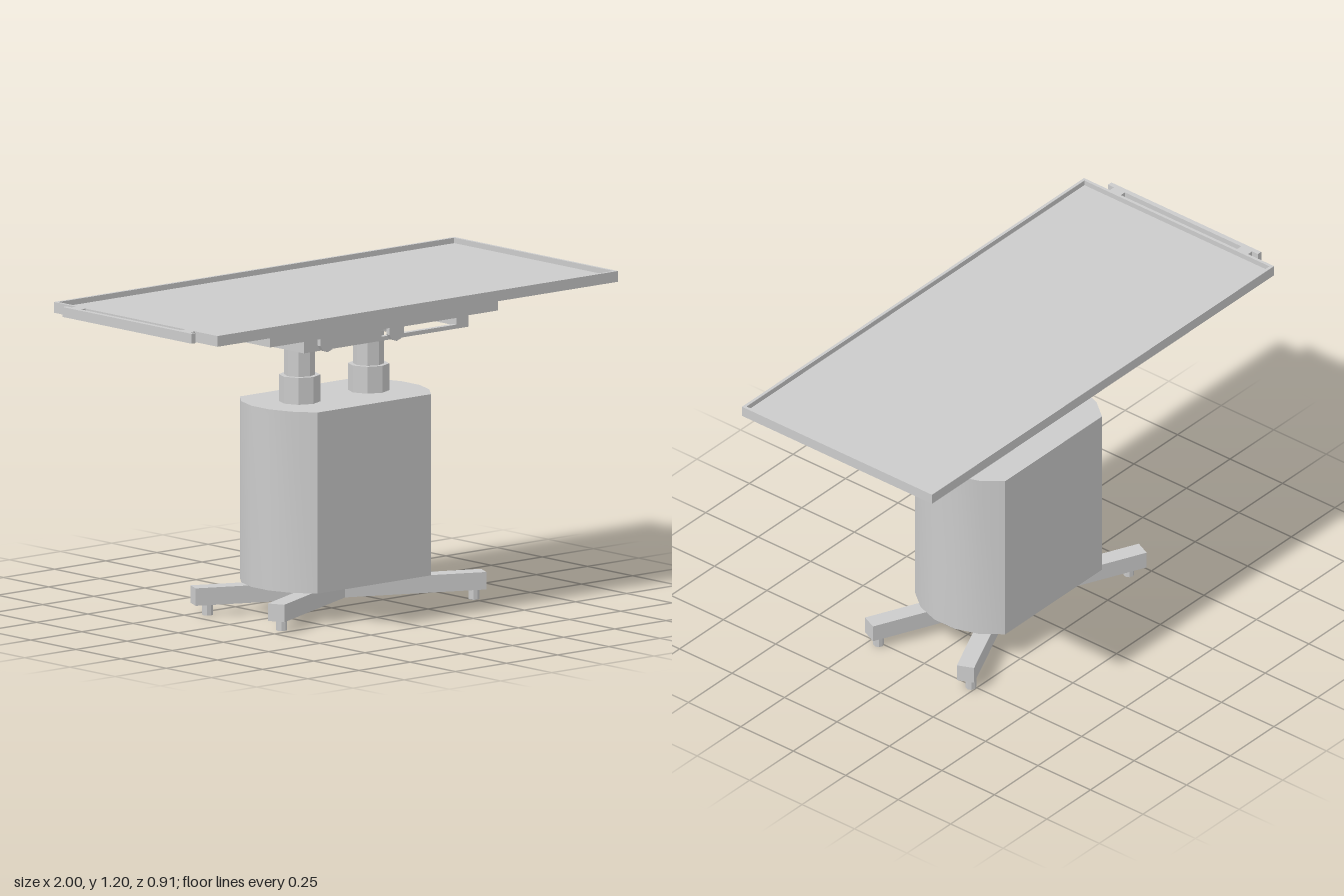
import * as THREE from 'three';
import { toCreasedNormals } from 'three/addons/utils/BufferGeometryUtils.js';

export function createModel() {
  const model = new THREE.Group();
  const smooth = new THREE.MeshStandardMaterial({ color: 0xcccccc });
  const flat = new THREE.MeshStandardMaterial({ color: 0xcccccc, flatShading: true });

  function add(name, geometry, material = flat) {
    const mesh = new THREE.Mesh(geometry, material);
    mesh.name = name;
    model.add(mesh);
    return mesh;
  }
  // box given by its min and max on each axis
  function box(name, x0, x1, y0, y1, z0, z1) {
    const mesh = add(name, new THREE.BoxGeometry(x1 - x0, y1 - y0, z1 - z0));
    mesh.position.set((x0 + x1) / 2, (y0 + y1) / 2, (z0 + z1) / 2);
    return mesh;
  }
  // upright post between two heights
  function post(name, r, x, z, y0, y1, sides = 8) {
    const mesh = add(name, new THREE.CylinderGeometry(r, r, y1 - y0, sides));
    mesh.position.set(x, (y0 + y1) / 2, z);
    return mesh;
  }
  function rectangle(path, x0, x1, y0, y1) {
    path.moveTo(x0, y0);
    path.lineTo(x1, y0);
    path.lineTo(x1, y1);
    path.lineTo(x0, y1);
    path.closePath();
    return path;
  }

  // crossed base beams
  for (const side of [1, -1]) {
    const beam = add('baseBeam', new THREE.BoxGeometry(1.114, 0.065, 0.066));
    beam.position.set(0.033, 0.0725, 0);
    beam.rotation.y = side * 0.425;
  }

  // feet under the beams and spacers under the tabletop
  for (const [x, z] of [[-0.43, 0.21], [-0.43, -0.2], [0.51, 0.21], [0.51, -0.23]]) {
    post('foot', 0.02, x, z, 0, 0.042);
    post('tabletopSpacer', 0.02, x - 0.022, z, 1.108, 1.157);
  }

  // pedestal housing with bowed ends
  const radius = 0.291, half = Math.asin(0.215 / radius), segments = 5;
  const outline = [];
  for (const side of [1, -1]) {
    for (let i = 0; i <= segments; i++) {
      const a = -half + (2 * half * i) / segments;
      outline.push(new THREE.Vector2(
        0.018 + side * (0.081 + radius * Math.cos(a)),
        side * radius * Math.sin(a)));
    }
  }
  const housing = new THREE.ExtrudeGeometry(new THREE.Shape(outline), { depth: 0.675, bevelEnabled: false });
  housing.rotateX(-Math.PI / 2);
  add('pedestalHousing', toCreasedNormals(housing, 0.5), smooth).position.y = 0.115;

  // telescopic columns with pivot axles and end knobs
  for (const x of [-0.157, 0.18]) {
    post('lowerColumn', 0.076, x, 0, 0.785, 0.89);
    post('upperColumn', 0.057, x, 0, 0.88, 1.04);
    const axle = post('pivotAxle', 0.012, x, 0, 0.89, 1.176);
    axle.rotation.x = Math.PI / 2;
    for (const side of [1, -1]) {
      const knob = post('pivotKnob', 0.038, x, side * 0.148, 1.0245, 1.0405, 10);
      knob.rotation.x = Math.PI / 2;
    }
  }

  // sliding carriage: slotted side rails closed by end bars
  const rail = rectangle(new THREE.Shape(), -0.26, 0.545, 1.0, 1.067);
  rail.holes.push(rectangle(new THREE.Path(), 0.12, 0.485, 1.015, 1.04));
  const railGeometry = new THREE.ExtrudeGeometry(rail, { depth: 0.02, bevelEnabled: false });
  for (const z of [-0.14, 0.12]) add('slottedRail', railGeometry).position.z = z;
  box('carriageEnd', -0.26, -0.24, 1.0, 1.067, -0.12, 0.12);
  box('carriageEnd', 0.525, 0.545, 1.0, 1.067, -0.12, 0.12);

  // support plate
  box('supportPlate', -0.54, 0.575, 1.075, 1.11, -0.267, 0.27);

  // tabletop tray with a raised rim
  box('tabletop', -0.958, 1, 1.155, 1.175, -0.453, 0.453);
  const rim = rectangle(new THREE.Shape(), -0.958, 1, -0.453, 0.453);
  rim.holes.push(rectangle(new THREE.Path(), -0.946, 0.988, -0.441, 0.441));
  const rimGeometry = new THREE.ExtrudeGeometry(rim, { depth: 0.02, bevelEnabled: false });
  rimGeometry.rotateX(-Math.PI / 2);
  add('tabletopRim', rimGeometry).position.y = 1.175;

  // side rail with its brackets
  box('sideRail', -1, -0.981, 1.158, 1.195, -0.357, 0.357);
  for (const z of [-0.303, 0.303]) box('sideRailBracket', -0.983, -0.956, 1.158, 1.195, z - 0.026, z + 0.026);

  return model;
}
